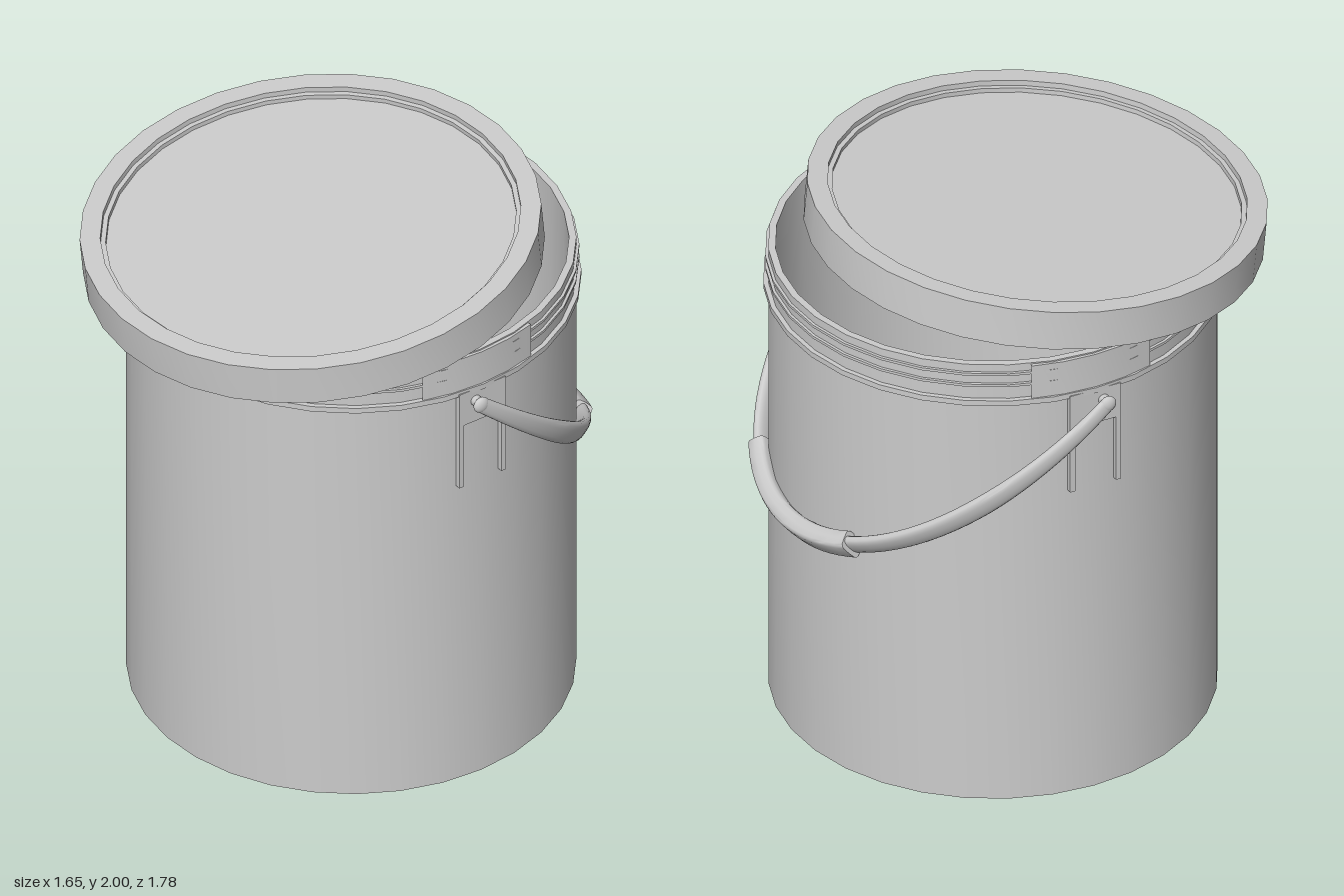
import * as THREE from 'three';
import { toCreasedNormals } from 'three/addons/utils/BufferGeometryUtils.js';

const material = new THREE.MeshStandardMaterial({ color: 0xcccccc, side: THREE.DoubleSide });
const SIDES = 32;
const BODY_Z = -0.055;

function addMesh(parent, name, geometry) {
  const mesh = new THREE.Mesh(geometry, material);
  mesh.name = name;
  parent.add(mesh);
  return mesh;
}

// Turned part with crisp profile corners and a smooth circumference
function turned(profile, start = 0, length = Math.PI * 2, sides = SIDES) {
  const points = profile.map(([r, y]) => new THREE.Vector2(r, y));
  return toCreasedNormals(new THREE.LatheGeometry(points, sides, start, length), 0.5);
}

// Square-section hoop
function hoop(inner, outer, y0, y1, start, length, sides) {
  return turned([[inner, y0], [outer, y0], [outer, y1], [inner, y1], [inner, y0]], start, length, sides);
}

// Rounded bar swept along part of the half-ellipse x = rx cos t, y = -ry sin t
function sweptBar(rx, ry, t0, t1, steps, halfSize, power) {
  const around = 16, positions = [], index = [];
  const shape = (v) => Math.sign(v) * Math.pow(Math.abs(v), power);
  for (let i = 0; i <= steps; i++) {
    const t = t0 + (t1 - t0) * i / steps;
    const x = rx * Math.cos(t), y = -ry * Math.sin(t);
    const normal = new THREE.Vector2(ry * Math.cos(t), -rx * Math.sin(t)).normalize();
    const [thick, wide] = halfSize(i / steps);
    for (let j = 0; j < around; j++) {
      const a = j / around * Math.PI * 2;
      const out = thick * shape(Math.cos(a));
      positions.push(x + normal.x * out, y + normal.y * out, wide * shape(Math.sin(a)));
    }
  }
  for (let i = 0; i < steps; i++) {
    for (let j = 0; j < around; j++) {
      const a = i * around + j, b = i * around + (j + 1) % around;
      index.push(a, a + around, b, b, a + around, b + around);
    }
  }
  // End caps
  const last = steps * around;
  for (let j = 1; j < around - 1; j++) {
    index.push(0, j, j + 1, last, last + j + 1, last + j);
  }
  const geometry = new THREE.BufferGeometry();
  geometry.setAttribute('position', new THREE.Float32BufferAttribute(positions, 3));
  geometry.setIndex(index);
  return toCreasedNormals(geometry, 0.8);
}

function createBucket() {
  const bucket = new THREE.Group();
  bucket.name = 'bucket';
  bucket.position.z = BODY_Z;

  // Hollow wall with a recessed underside
  addMesh(bucket, 'body', turned([
    [0, 0.03], [0.735, 0.03], [0.74, 0], [0.765, 0], [0.765, 1.775],
    [0.74, 1.775], [0.735, 0.06], [0, 0.06],
  ]));

  // Reinforcing hoops below the rim
  addMesh(bucket, 'wideHoop', hoop(0.755, 0.782, 1.617, 1.638));
  for (const y of [1.695, 1.74]) addMesh(bucket, 'rimHoop', hoop(0.755, 0.775, y - 0.005, y + 0.005));

  for (const side of [1, -1]) {
    // Smooth pad interrupting the hoops
    addMesh(bucket, 'rimPad', hoop(0.755, 0.775, 1.638, 1.77, side * Math.PI / 2 - 0.295, 0.59, 4));

    // Handle bracket: plate and two long ribs
    const bracket = new THREE.Group();
    bracket.name = 'handleBracket';
    bucket.add(bracket);
    const plate = addMesh(bracket, 'bracketPlate', new THREE.BoxGeometry(0.035, 0.135, 0.19));
    plate.position.set(side * 0.76, 1.56, 0);
    for (const z of [-0.087, 0.087]) {
      const rib = addMesh(bracket, 'bracketRib', new THREE.BoxGeometry(0.04, 0.39, 0.02));
      rib.position.set(side * 0.757, 1.43, z);
    }
  }
  return bucket;
}

function createHandle() {
  const handle = new THREE.Group();
  handle.name = 'handle';
  handle.position.set(0, 1.58, -0.025);
  handle.rotation.x = Math.atan2(0.81, 0.7);
  const rx = 0.81, ry = 1.07;

  // Strap narrows toward both pivots
  addMesh(handle, 'strap', sweptBar(rx, ry, 0, Math.PI, 64, (u) => {
    const k = Math.min(1, Math.min(u, 1 - u) * 6);
    return [0.015 + 0.004 * k, 0.028 + 0.015 * k];
  }, 0.8));

  // Thicker grip in the middle
  const spread = Math.asin(0.34 / rx);
  addMesh(handle, 'grip', sweptBar(rx, ry, Math.PI / 2 - spread, Math.PI / 2 + spread, 20,
    () => [0.035, 0.048], 0.45));

  // Rounded pivots and their pins into the brackets
  for (const side of [1, -1]) {
    const pivot = addMesh(handle, 'pivot', new THREE.SphereGeometry(0.03, 16, 10));
    pivot.scale.x = 0.55;
    pivot.position.x = side * 0.811;
    const pin = addMesh(handle, 'pivotPin', new THREE.CylinderGeometry(0.02, 0.02, 0.06, 16));
    pin.rotation.z = Math.PI / 2;
    pin.position.x = side * 0.785;
  }
  return handle;
}

function createLid() {
  const lid = new THREE.Group();
  lid.name = 'lid';
  lid.position.set(0, 1.776, 0.1);
  lid.rotation.x = 0.098;

  // Sunken panel, raised rim and hanging skirt
  addMesh(lid, 'lidShell', turned([
    [0, 0.09], [0.7, 0.09], [0.7, 0.127], [0.77, 0.127], [0.77, 0], [0.787, 0],
    [0.787, 0.147], [0.717, 0.147], [0.717, 0.11], [0, 0.11],
  ]));
  return lid;
}

export function createModel() {
  const model = new THREE.Group();
  model.name = 'lidded bucket';
  model.add(createBucket(), createHandle(), createLid());
  return model;
}
